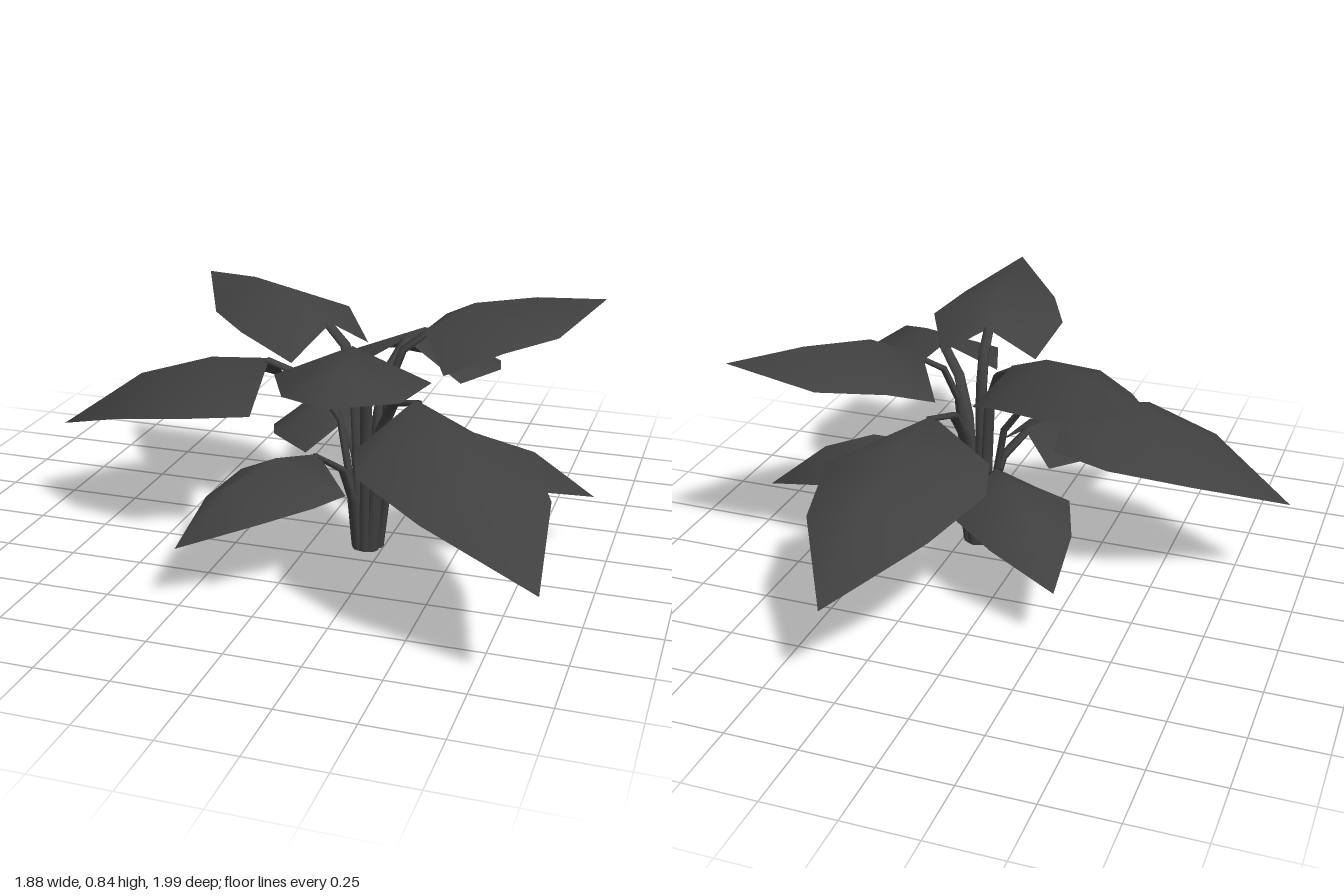
import * as THREE from 'three';

const material = new THREE.MeshStandardMaterial({ color: 0x404040, side: THREE.DoubleSide });

// Each tier: leaf rows [reach, ridge height, edge height, half width], pointed tip,
// stalk points [reach, height, half thickness, half width], and the compass angles of its leaves in degrees.
const tiers = [
  {
    name: 'top',
    rows: [[0.195, 0.76, 0.655, 0.175], [0.375, 0.84, 0.735, 0.245], [0.605, 0.84, 0.745, 0.177]],
    tip: [0.87, 0.81],
    stalk: [[0.042, 0, 0.015, 0.023], [0.05, 0.3, 0.014, 0.023], [0.07, 0.58, 0.013, 0.022],
      [0.12, 0.7, 0.012, 0.021], [0.21, 0.755, 0.009, 0.02]],
    angles: [81.5, 211, -36],
  },
  {
    name: 'middle',
    rows: [[0.35, 0.65, 0.51, 0.21], [0.56, 0.635, 0.51, 0.295], [0.825, 0.55, 0.455, 0.218]],
    tip: [1.135, 0.33],
    stalk: [[0.042, 0, 0.015, 0.023], [0.07, 0.28, 0.014, 0.023], [0.1, 0.46, 0.013, 0.022],
      [0.19, 0.585, 0.012, 0.021], [0.36, 0.643, 0.009, 0.02]],
    angles: [-85.4, 179, 49],
  },
  {
    name: 'low',
    rows: [[0.21, 0.39, 0.29, 0.15], [0.38, 0.415, 0.31, 0.208], [0.56, 0.36, 0.275, 0.145]],
    tip: [0.77, 0.2],
    stalk: [[0.042, 0, 0.015, 0.023], [0.062, 0.18, 0.014, 0.022], [0.11, 0.31, 0.012, 0.021],
      [0.22, 0.385, 0.009, 0.02]],
    angles: [125.5, -15, 231],
  },
];

function surface(points, index) {
  const geometry = new THREE.BufferGeometry().setFromPoints(points);
  geometry.setIndex(index);
  geometry.computeVertexNormals();
  return geometry;
}

// Folded blade: a raised midrib, two drooping edges and a pointed tip
function leafGeometry({ rows, tip }) {
  const points = [], index = [];
  rows.forEach(([r, ridge, edge, w], i) => {
    points.push(new THREE.Vector3(r, edge, -w), new THREE.Vector3(r, ridge, 0), new THREE.Vector3(r, edge, w));
    for (let j = 0; j < 2; j++) {
      const a = i * 3 + j;
      if (i < rows.length - 1) index.push(a, a + 1, a + 4, a, a + 4, a + 3);
      else index.push(a, a + 1, rows.length * 3);
    }
  });
  points.push(new THREE.Vector3(tip[0], tip[1], 0));
  return surface(points, index);
}

// Flattened six-sided stalk bending outward
function stalkGeometry({ stalk }) {
  const sides = 6, points = [], index = [];
  stalk.forEach(([r, y, thickness, width], i) => {
    const before = stalk[Math.max(i - 1, 0)];
    const after = stalk[Math.min(i + 1, stalk.length - 1)];
    const t = i === 0
      ? new THREE.Vector2(0, 1)
      : new THREE.Vector2(after[0] - before[0], after[1] - before[1]).normalize();
    for (let j = 0; j < sides; j++) {
      const angle = (j / sides) * Math.PI * 2;
      const c = Math.cos(angle) * thickness;
      points.push(new THREE.Vector3(r - t.y * c, y + t.x * c, Math.sin(angle) * width));
      if (i < stalk.length - 1) {
        const a = i * sides + j, b = i * sides + (j + 1) % sides;
        index.push(a, b, b + sides, a, b + sides, a + sides);
      }
    }
  });
  return surface(points, index);
}

export function createModel() {
  const plant = new THREE.Group();
  plant.name = 'plant';

  for (const tier of tiers) {
    const leaf = leafGeometry(tier);
    const stalk = stalkGeometry(tier);
    for (const angle of tier.angles) {
      const frond = new THREE.Group();
      frond.name = `${tier.name}Frond`;
      for (const [name, geometry] of [['leaf', leaf], ['stalk', stalk]]) {
        const mesh = new THREE.Mesh(geometry, material);
        mesh.name = name;
        frond.add(mesh);
      }
      // All stalks rise from one off-centre clump
      frond.position.set(0.193, 0, 0.129);
      frond.rotation.y = -THREE.MathUtils.degToRad(angle);
      plant.add(frond);
    }
  }
  return plant;
}
